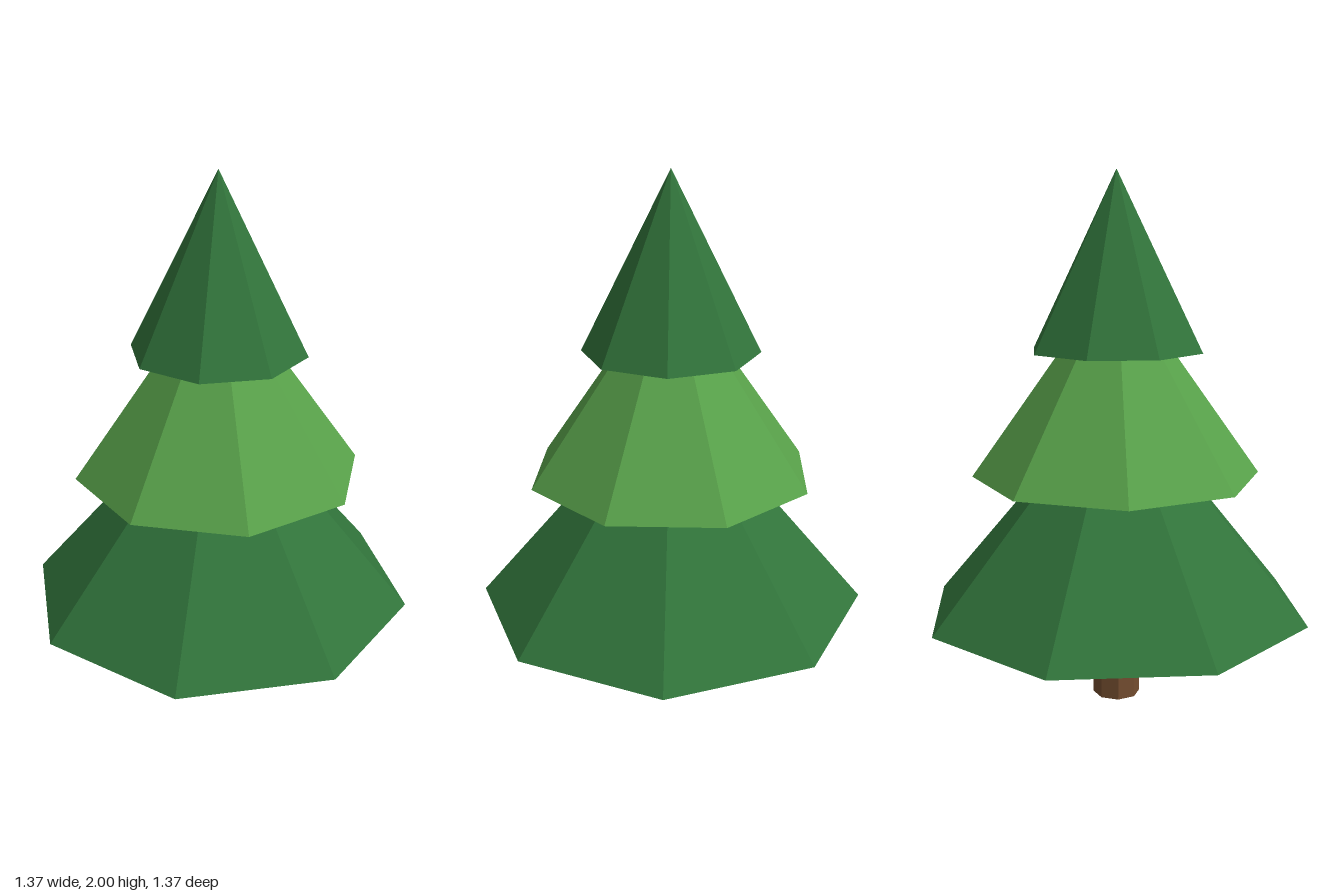
import * as THREE from 'three';

const SIDES = 8;

function material(name, color) {
  const m = new THREE.MeshStandardMaterial({ color, flatShading: true });
  m.name = name;
  return m;
}

export function createModel() {
  const tree = new THREE.Group();
  tree.name = 'pineTree';

  const bark = material('bark brown', 0x754e30);
  const darkGreen = material('dark green', 0x31743b);
  const lightGreen = material('light green', 0x58a14a);

  // Trunk, with its corners on the axes
  const trunk = new THREE.Mesh(new THREE.CylinderGeometry(0.09, 0.09, 0.4, SIDES), bark);
  trunk.name = 'trunk';
  trunk.position.y = 0.2;
  tree.add(trunk);

  // Three stacked cones; the outer two are turned by half a side
  const halfSide = Math.PI / SIDES;
  const tiers = [
    { name: 'lowerFoliage', radius: 0.742, base: 0.35, tip: 1.22, turn: halfSide, mat: darkGreen },
    { name: 'middleFoliage', radius: 0.543, base: 0.875, tip: 1.64, turn: 0, mat: lightGreen },
    { name: 'upperFoliage', radius: 0.33, base: 1.345, tip: 2, turn: halfSide, mat: darkGreen },
  ];
  for (const { name, radius, base, tip, turn, mat } of tiers) {
    const cone = new THREE.Mesh(new THREE.ConeGeometry(radius, tip - base, SIDES), mat);
    cone.name = name;
    cone.position.y = (base + tip) / 2;
    cone.rotation.y = turn;
    tree.add(cone);
  }

  return tree;
}
